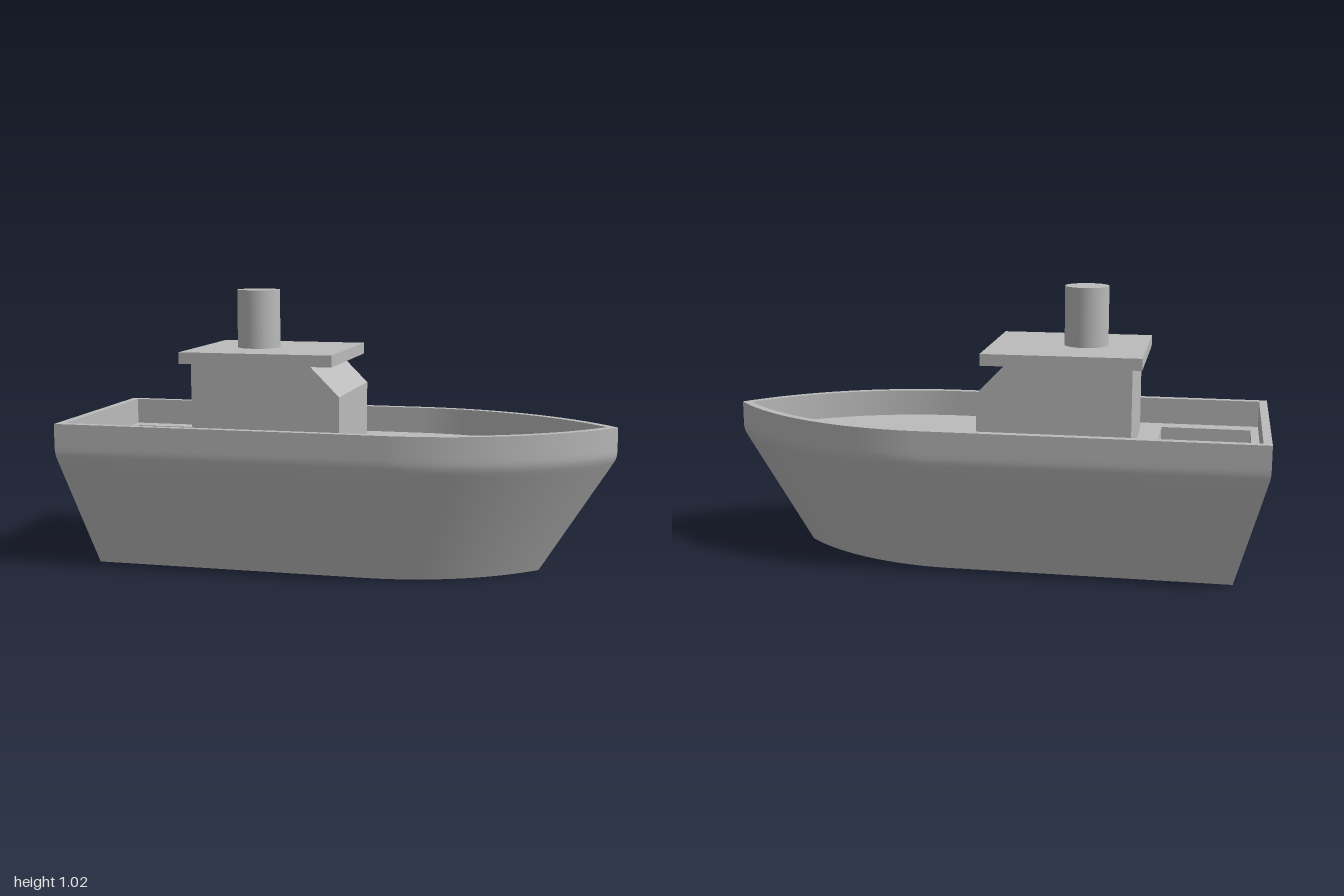
import * as THREE from 'three';

const DECK = 0.44, RIM = 0.54, WELL = 0.205;

// One side of a boat outline: straight from the stern, then an arc to the bow tip. Points are [x, z].
function halfOutline(stern, start, tip, width, n = 32) {
  const run = tip - start;
  const R = (run * run + width * width) / (2 * width);
  const end = Math.asin(run / R);
  const pts = [[stern, width]];
  for (let i = 0; i <= n; i++) {
    const a = (end * i) / n;
    pts.push([start + R * Math.sin(a), width - R + R * Math.cos(a)]);
  }
  pts[n + 1] = [tip, 0];
  return pts;
}

const mirror = (pts) => pts.map(([x, z]) => [x, -z]).reverse();

// Skin between stacked rows of [x, y, z] points.
function loft(rows) {
  const n = rows[0].length, index = [];
  for (let j = 0; j < rows.length - 1; j++) {
    for (let i = 0; i < n - 1; i++) {
      const a = j * n + i, b = a + 1, c = b + n, d = a + n;
      index.push(a, b, c, a, c, d);
    }
  }
  const geo = new THREE.BufferGeometry();
  geo.setAttribute('position', new THREE.Float32BufferAttribute(rows.flat(2), 3));
  geo.setIndex(index);
  geo.computeVertexNormals();
  return geo;
}

const atHeight = (pts, y) => pts.map(([x, z]) => [x, y, z]);

// Horizontal plate facing up or down, with an optional hole.
function plate(pts, y, hole, down = false) {
  const to2 = (p) => p.map(([x, z]) => new THREE.Vector2(x, -z));
  const shape = new THREE.Shape(to2(pts));
  if (hole) shape.holes.push(new THREE.Path(to2(hole)));
  return new THREE.ShapeGeometry(shape).rotateX(down ? Math.PI / 2 : -Math.PI / 2).translate(0, y, 0);
}

export function createModel() {
  const model = new THREE.Group();
  model.name = 'boat';
  const grey = new THREE.MeshStandardMaterial({ color: 0xbbbbbb });
  grey.name = 'grey';

  const add = (name, geo, parent = model) => {
    const mesh = new THREE.Mesh(geo, grey);
    mesh.name = name;
    parent.add(mesh);
    return mesh;
  };

  const hull = new THREE.Group();
  hull.name = 'hull';
  model.add(hull);

  const keel = halfOutline(-0.89, 0.13, 0.73, 0.25);
  const outer = halfOutline(-1, 0.22, 1, 0.377);
  const inner = halfOutline(-0.97, 0.22, 0.961, 0.347);
  const loop = (half) => [...half, ...mirror(half).slice(1)];

  // Outer skin: sloping sides that round softly into an upright band
  const profile = [[0, 0], [0.2, 0.465], [0.39, 0.907], [0.41, 0.953], [0.425, 0.983],
    [0.44, 0.997], [0.455, 1], [0.475, 1], [RIM, 1]];
  const section = ([y, t]) => keel.map(([x, z], i) => [
    THREE.MathUtils.lerp(x, outer[i][0], t), y, THREE.MathUtils.lerp(z, outer[i][1], t)]);
  const rows = profile.map(section);
  const flip = (row) => row.map(([x, y, z]) => [x, y, -z]).reverse();
  add('frontSide', loft(rows), hull);
  add('backSide', loft(rows.map(flip)), hull);
  add('stern', loft(rows.map(([[x, y, z]]) => [[x, y, -z], [x, y, z]])), hull);
  add('bottom', plate(loop(keel), 0, null, true), hull);

  // Bulwark rim and its inner walls
  add('rim', plate(loop(outer), RIM, loop(inner)), hull);
  const sternInner = [[-0.97, -0.347], [-0.97, 0.347]];
  [inner, mirror(inner), sternInner].forEach((pts, i) => {
    const inward = [...pts].reverse();
    add('bulwarkInside' + (i + 1), loft([atHeight(inward, DECK), atHeight(inward, RIM)]), hull);
  });

  // Deck with an open cargo well near the stern
  const well = [[-0.94, 0.28], [-0.6, 0.28], [-0.6, -0.28], [-0.94, -0.28]];
  add('deck', plate(loop(inner), DECK, well), hull);
  const wellLoop = [...well, well[0]].reverse();
  const walls = loft([atHeight(wellLoop, WELL), atHeight(wellLoop, DECK)]).toNonIndexed();
  walls.computeVertexNormals();
  add('wellWalls', walls, hull);
  add('wellFloor', plate(well, WELL), hull);

  // Cabin with a sloped upper front
  const side = new THREE.Shape([[-0.52, DECK], [0.033, DECK], [0.033, 0.65], [-0.077, 0.76], [-0.52, 0.76]]
    .map(([x, y]) => new THREE.Vector2(x, y)));
  add('cabin', new THREE.ExtrudeGeometry(side, { depth: 0.476, bevelEnabled: false }).translate(0, 0, -0.238));
  add('roof', new THREE.BoxGeometry(0.568, 0.042, 0.54)).position.set(-0.271, 0.78, 0);
  add('funnel', new THREE.CylinderGeometry(0.08, 0.08, 0.217, 48)).position.set(-0.333, 0.9085, 0);

  return model;
}
